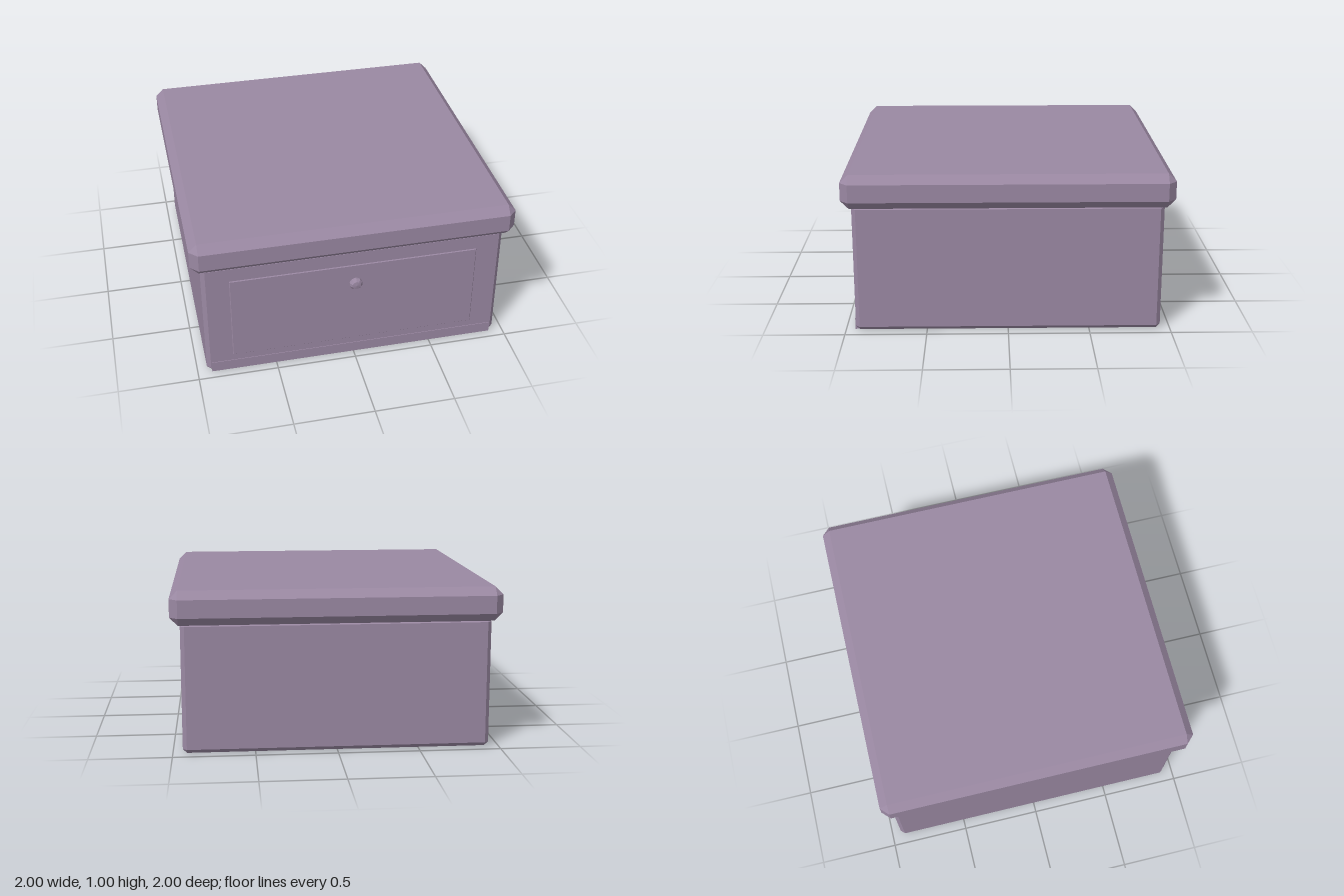
import * as THREE from 'three';
import { ConvexGeometry } from 'three/addons/geometries/ConvexGeometry.js';

// Box with every edge cut by a chamfer c, leaving a small triangle at each corner
function chamferBox(w, h, d, c) {
  const points = [];
  for (const sx of [-1, 1]) for (const sy of [-1, 1]) for (const sz of [-1, 1]) {
    const x = w / 2, y = h / 2, z = d / 2;
    points.push(
      new THREE.Vector3(sx * x, sy * (y - c), sz * (z - c)),
      new THREE.Vector3(sx * (x - c), sy * y, sz * (z - c)),
      new THREE.Vector3(sx * (x - c), sy * (y - c), sz * z)
    );
  }
  return new ConvexGeometry(points);
}

export function createModel() {
  const group = new THREE.Group();
  const mauve = new THREE.MeshStandardMaterial({ color: 0x9a88a2, flatShading: true });
  mauve.name = 'mauvePaint';

  const add = (name, geometry, x, y, z) => {
    const mesh = new THREE.Mesh(geometry, mauve);
    mesh.name = name;
    mesh.position.set(x, y, z);
    group.add(mesh);
    return mesh;
  };

  // Cabinet and overhanging top
  add('cabinetBody', chamferBox(1.88, 0.805, 1.88, 0.025), 0, 0.4025, 0);
  add('tableTop', chamferBox(2, 0.21, 2, 0.05), 0, 0.895, 0);

  // Straight strip along the bottom of the front
  add('frontBaseStrip', new THREE.BoxGeometry(1.82, 0.07, 0.04), 0, 0.035, 0.924);

  // Slightly raised drawer front
  add('drawerFront', chamferBox(1.546, 0.575, 0.03, 0.004), 0, 0.4025, 0.931);

  // Knob, turned to face forward
  const profile = [[0, 0], [0.022, 0], [0.018, 0.012], [0.041, 0.022], [0.041, 0.034], [0.027, 0.05], [0, 0.054]]
    .map(([r, h]) => new THREE.Vector2(r, h));
  add('drawerKnob', new THREE.LatheGeometry(profile, 10), 0, 0.57, 0.944).rotation.x = Math.PI / 2;

  return group;
}
